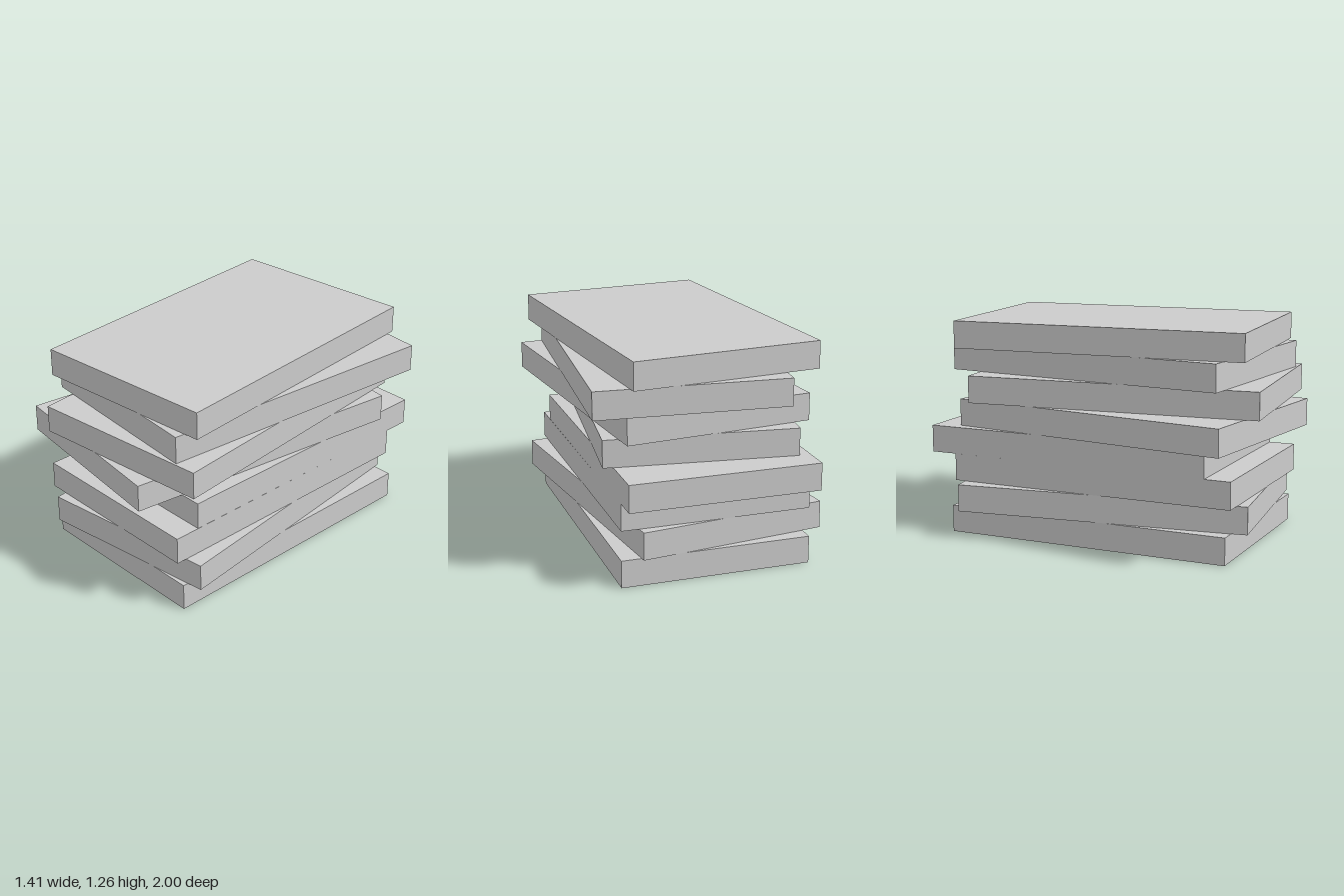
import * as THREE from 'three';

const WIDTH = 1.088, DEPTH = 1.705, THICKNESS = 0.157;

// Bottom to top: x offset, z offset, turn about the vertical (radians)
const LAYERS = [
  [0.01, -0.016, -0.015],
  [0.001, 0.015, 0.109],
  [0, 0.015, -0.015],
  [0.002, -0.137, -0.016],
  [-0.048, 0.077, -0.144],
  [0.048, 0.072, 0.087],
  [0.077, -0.028, -0.1],
  [0.021, 0.003, 0.075],
];

export function createModel() {
  const group = new THREE.Group();
  group.name = 'slabStack';
  const material = new THREE.MeshStandardMaterial({ color: 0xcccccc, flatShading: true });
  const geometry = new THREE.BoxGeometry(WIDTH, THICKNESS, DEPTH);

  // Identical slabs, loosely piled
  LAYERS.forEach(([x, z, turn], i) => {
    const slab = new THREE.Mesh(geometry, material);
    slab.name = `slab${i + 1}`;
    slab.position.set(x, (i + 0.5) * THICKNESS, z);
    slab.rotation.y = turn;
    group.add(slab);
  });
  return group;
}
